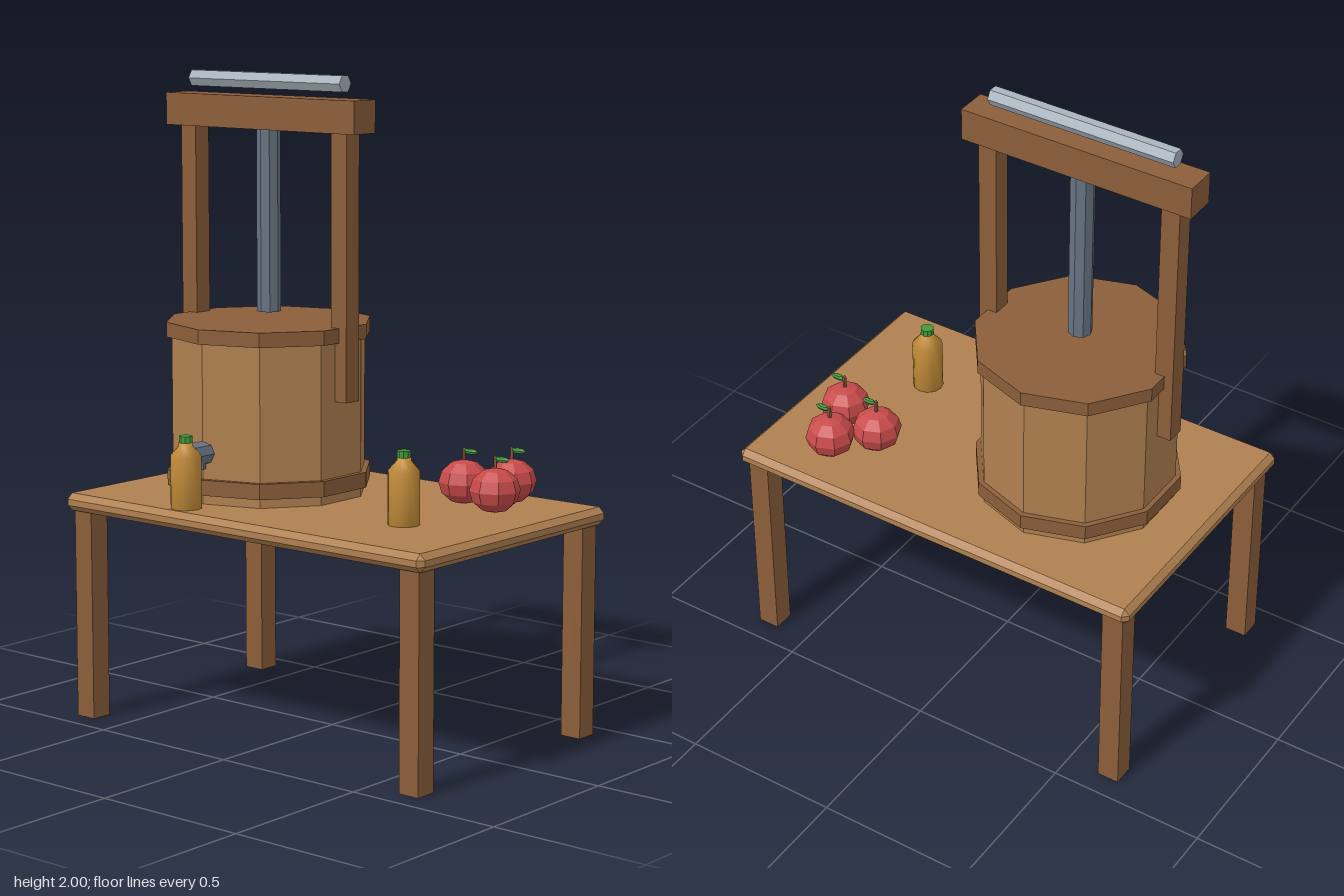
import * as THREE from 'three';
import { ConvexGeometry } from 'three/addons/geometries/ConvexGeometry.js';

const flat = (name, color) => {
  const m = new THREE.MeshStandardMaterial({ color, flatShading: true });
  m.name = name;
  return m;
};

export function createModel() {
  const root = new THREE.Group();
  root.name = 'ciderPress';

  const lightWood = flat('light wood', 0xb08050);
  const darkWood = flat('dark wood', 0x8b5e3a);
  const steel = flat('bright steel', 0xa9b4be);
  const iron = flat('dark iron', 0x687482);
  const red = flat('apple red', 0xc84b4b);
  const green = flat('leaf green', 0x429a3c);
  const juice = new THREE.MeshStandardMaterial({ color: 0xc68e3a });
  juice.name = 'juice amber';

  const add = (parent, name, geometry, material, x = 0, y = 0, z = 0) => {
    const mesh = new THREE.Mesh(geometry, material);
    mesh.name = name;
    mesh.position.set(x, y, z);
    parent.add(mesh);
    return mesh;
  };
  const box = (w, h, d) => new THREE.BoxGeometry(w, h, d);
  const cyl = (r, h, sides) => new THREE.CylinderGeometry(r, r, h, sides);

  // Table top: a box with every edge chamfered
  const [hx, hy, hz, b] = [0.705, 0.0275, 0.453, 0.018];
  const corners = [];
  for (const sx of [-1, 1]) for (const sy of [-1, 1]) for (const sz of [-1, 1]) {
    corners.push(
      new THREE.Vector3(sx * hx, sy * (hy - b), sz * (hz - b)),
      new THREE.Vector3(sx * (hx - b), sy * hy, sz * (hz - b)),
      new THREE.Vector3(sx * (hx - b), sy * (hy - b), sz * hz));
  }
  add(root, 'tableTop', new ConvexGeometry(corners), lightWood, 0, 0.6825, 0);

  // Table legs
  for (const sx of [-1, 1]) for (const sz of [-1, 1]) {
    add(root, 'tableLeg', box(0.07, 0.66, 0.07), darkWood, sx * 0.645, 0.33, sz * 0.395);
  }

  // Press: ten-sided tub with lid and lower hoop
  const press = new THREE.Group();
  press.name = 'press';
  press.position.x = -0.255;
  root.add(press);
  add(press, 'tub', cyl(0.305, 0.5, 10), lightWood, 0, 0.96, 0);
  add(press, 'lid', cyl(0.322, 0.045, 10), darkWood, 0, 1.2225, 0);
  add(press, 'lowerHoop', cyl(0.322, 0.048, 10), darkWood, 0, 0.763, 0);

  // Frame, screw and handle
  for (const s of [-1, 1]) {
    add(press, 'post', box(0.06, 0.81, 0.06), darkWood, s * 0.305, 1.425, 0);
  }
  add(press, 'crossBeam', box(0.76, 0.1, 0.1), darkWood, 0, 1.88, 0);
  add(press, 'screw', cyl(0.037, 0.58, 8), iron, 0, 1.56, 0);
  add(press, 'handle', cyl(0.028, 0.61, 6), steel, 0, 1.976, 0).rotation.z = Math.PI / 2;

  // Spigot
  add(press, 'spigotPipe', cyl(0.037, 0.1, 8), iron, 0, 0.867, 0.315).rotation.x = Math.PI / 2;
  add(press, 'spigotSpout', cyl(0.026, 0.05, 8), iron, 0, 0.847, 0.33);

  // Juice bottles
  const profile = [[0, 0], [0.048, 0], [0.048, 0], [0.048, 0.16], [0.048, 0.16], [0.022, 0.19], [0.022, 0.2], [0, 0.2]]
    .map(([x, y]) => new THREE.Vector2(x, y))
    .filter((p, i, all) => i === 0 || !p.equals(all[i - 1]));
  const bottleBody = new THREE.LatheGeometry(profile, 12);
  for (const [x, z] of [[-0.255, 0.38], [0.4, 0.15]]) {
    const bottle = new THREE.Group();
    bottle.name = 'bottle';
    bottle.position.set(x, 0.71, z);
    root.add(bottle);
    add(bottle, 'bottleBody', bottleBody, juice);
    add(bottle, 'bottleCap', cyl(0.021, 0.024, 10), green, 0, 0.208, 0);
  }

  // Apples with stem and leaf
  const appleBody = new THREE.SphereGeometry(0.078, 8, 6).scale(1, 0.88, 1);
  const leaf = new THREE.SphereGeometry(0.026, 6, 4).scale(1, 0.38, 0.38);
  for (const [x, z] of [[0.35, -0.203], [0.453, -0.305], [0.505, -0.153]]) {
    const apple = new THREE.Group();
    apple.name = 'apple';
    apple.position.set(x, 0.78, z);
    root.add(apple);
    add(apple, 'appleBody', appleBody, red);
    add(apple, 'appleStem', cyl(0.006, 0.05, 5), darkWood, 0, 0.08, 0);
    add(apple, 'appleLeaf', leaf, green, 0.025, 0.095, 0);
  }

  return root;
}
